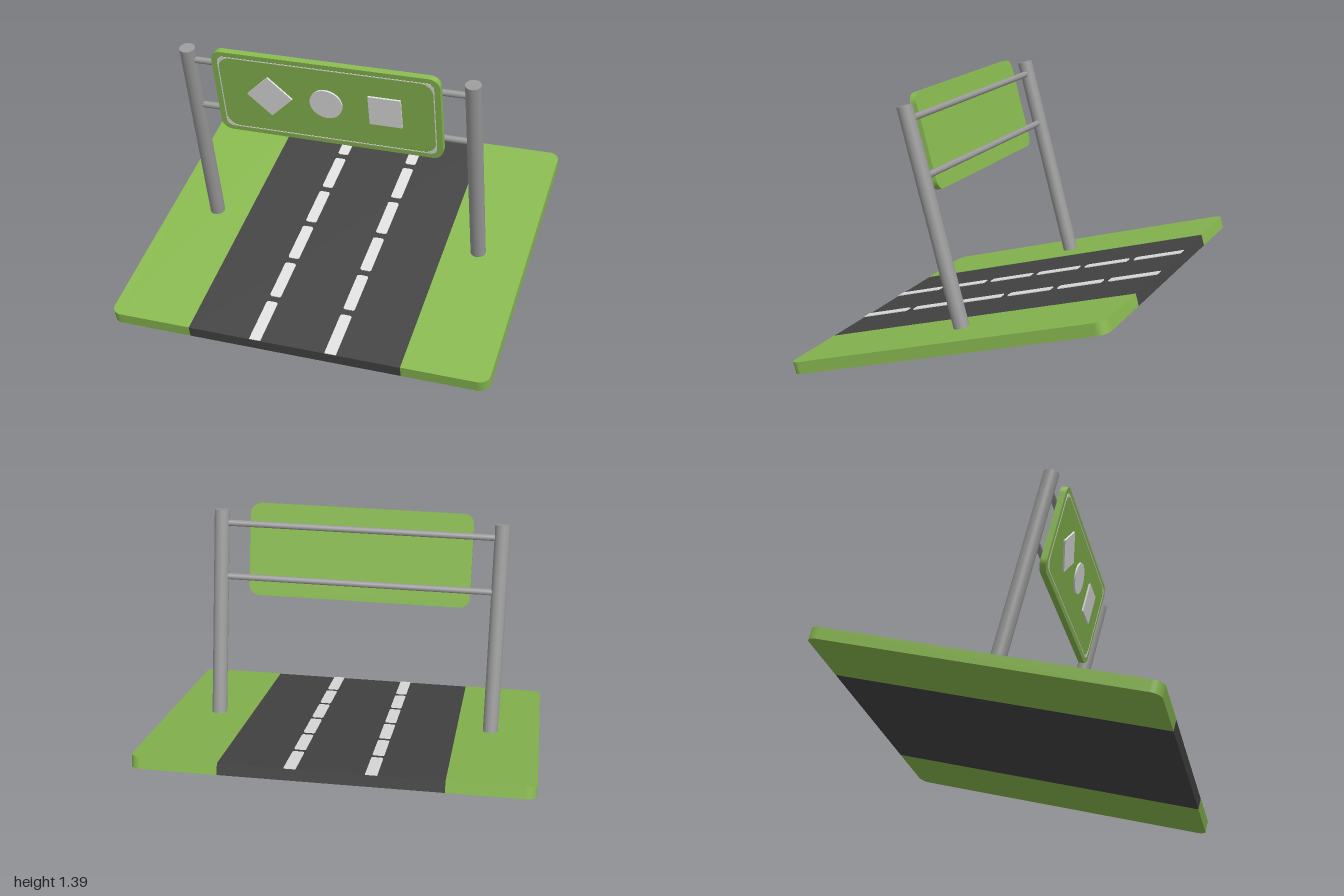
import * as THREE from 'three';

const TILT = Math.PI / 12;
const HALF_LENGTH = 0.86, HALF_THICK = 0.031;
const ROAD_HALF = 0.56;

const material = (name, color) => {
  const m = new THREE.MeshStandardMaterial({ color });
  m.name = name;
  return m;
};

// Rounded rectangle; radii are [right-bottom, right-top, left-top, left-bottom]
function roundedRect(x0, y0, x1, y1, [rb, rt, lt, lb], Type = THREE.Shape) {
  const s = new Type();
  const arc = (x, y, r, a) => { if (r > 0) s.absarc(x, y, r, a, a + Math.PI / 2, false); };
  s.moveTo(x0 + lb, y0);
  s.lineTo(x1 - rb, y0);
  arc(x1 - rb, y0 + rb, rb, -Math.PI / 2);
  s.lineTo(x1, y1 - rt);
  arc(x1 - rt, y1 - rt, rt, 0);
  s.lineTo(x0 + lt, y1);
  arc(x0 + lt, y1 - lt, lt, Math.PI / 2);
  s.lineTo(x0, y0 + lb);
  arc(x0 + lb, y0 + lb, lb, Math.PI);
  return s;
}

const extrude = (shape, depth) =>
  new THREE.ExtrudeGeometry(shape, { depth, bevelEnabled: false, curveSegments: 8 });

// Extruded upward from a plan drawn in x and -z
const slab = (shape, depth) => extrude(shape, depth).rotateX(-Math.PI / 2);

export function createModel() {
  const root = new THREE.Group();
  root.name = 'roadWithSign';
  const model = new THREE.Group();
  model.name = 'tiltedRoadSection';
  model.rotation.x = TILT;
  model.position.y = 0.2526;
  root.add(model);

  const green = material('grass green', 0x88b950);
  const asphalt = material('asphalt', 0x444444);
  const metal = material('grey metal', 0x9a9a9a);
  const white = material('marking white', 0xe0e0e0);

  const add = (name, geometry, mat, x = 0, y = 0, z = 0) => {
    const mesh = new THREE.Mesh(geometry, mat);
    mesh.name = name;
    mesh.position.set(x, y, z);
    model.add(mesh);
    return mesh;
  };

  // Road bed
  const roadTop = HALF_THICK - 0.002;
  add('road', new THREE.BoxGeometry(2 * ROAD_HALF, HALF_THICK + roadTop, 2 * HALF_LENGTH),
    asphalt, 0, (roadTop - HALF_THICK) / 2, 0);

  // Grass verges, rounded on the outer corners
  const r = 0.055;
  add('leftVerge', slab(roundedRect(ROAD_HALF, -HALF_LENGTH, 1, HALF_LENGTH, [r, r, 0, 0]),
    2 * HALF_THICK), green, 0, -HALF_THICK, 0);
  add('rightVerge', slab(roundedRect(-1, -HALF_LENGTH, -ROAD_HALF, HALF_LENGTH, [0, 0, r, r]),
    2 * HALF_THICK), green, 0, -HALF_THICK, 0);

  // Dashed lane markings; the end dashes run out to the road ends
  const count = 6, pitch = 2 * HALF_LENGTH / count, gap = 0.038, c = 0.012;
  for (const x of [-0.2, 0.2]) {
    for (let i = 0; i < count; i++) {
      const first = i === 0, last = i === count - 1;
      const y0 = -HALF_LENGTH + i * pitch + (first ? 0 : gap / 2);
      const y1 = -HALF_LENGTH + (i + 1) * pitch - (last ? 0 : gap / 2);
      const a = first ? 0 : c, b = last ? 0 : c;
      add('laneDash', slab(roundedRect(-0.03, y0, 0.03, y1, [a, b, b, a]), 0.004),
        white, x, roadTop, 0);
    }
  }

  // Posts and the two rails between them
  const postTop = 1.145;
  for (const [name, x] of [['leftPost', 0.74], ['rightPost', -0.74]]) {
    add(name, new THREE.CylinderGeometry(0.04, 0.04, postTop, 24), metal, x, postTop / 2, 0);
  }
  for (const [name, y] of [['upperRail', 1.076], ['lowerRail', 0.788]]) {
    add(name, new THREE.CylinderGeometry(0.017, 0.017, 1.48, 16).rotateZ(Math.PI / 2),
      metal, 0, y, 0);
  }

  // Sign board
  const q = 0.055, face = 0.05;
  add('signBoard', extrude(roundedRect(-0.59, -0.247, 0.59, 0.247, [q, q, q, q]), 0.034),
    green, 0, 0.938, face - 0.034);

  // Fine border, heavier at its corners
  const o = 0.035, h = 0.065;
  const border = roundedRect(-0.56, -0.22, 0.56, 0.22, [o, o, o, o]);
  border.holes.push(roundedRect(-0.555, -0.215, 0.555, 0.215, [h, h, h, h], THREE.Path));
  add('signBorder', extrude(border, 0.002), white, 0, 0.938, face);

  // Sign symbols
  const iconY = 0.948, depth = 0.0098;
  const square = () => new THREE.BoxGeometry(0.168, 0.17, depth);
  add('diamondSymbol', square().rotateZ(Math.PI / 4), white, -0.298, iconY, face + depth / 2);
  add('circleSymbol', new THREE.CylinderGeometry(0.085, 0.085, depth, 32).rotateX(Math.PI / 2),
    white, 0, iconY, face + depth / 2);
  add('squareSymbol', square(), white, 0.306, iconY, face + depth / 2);

  return root;
}
